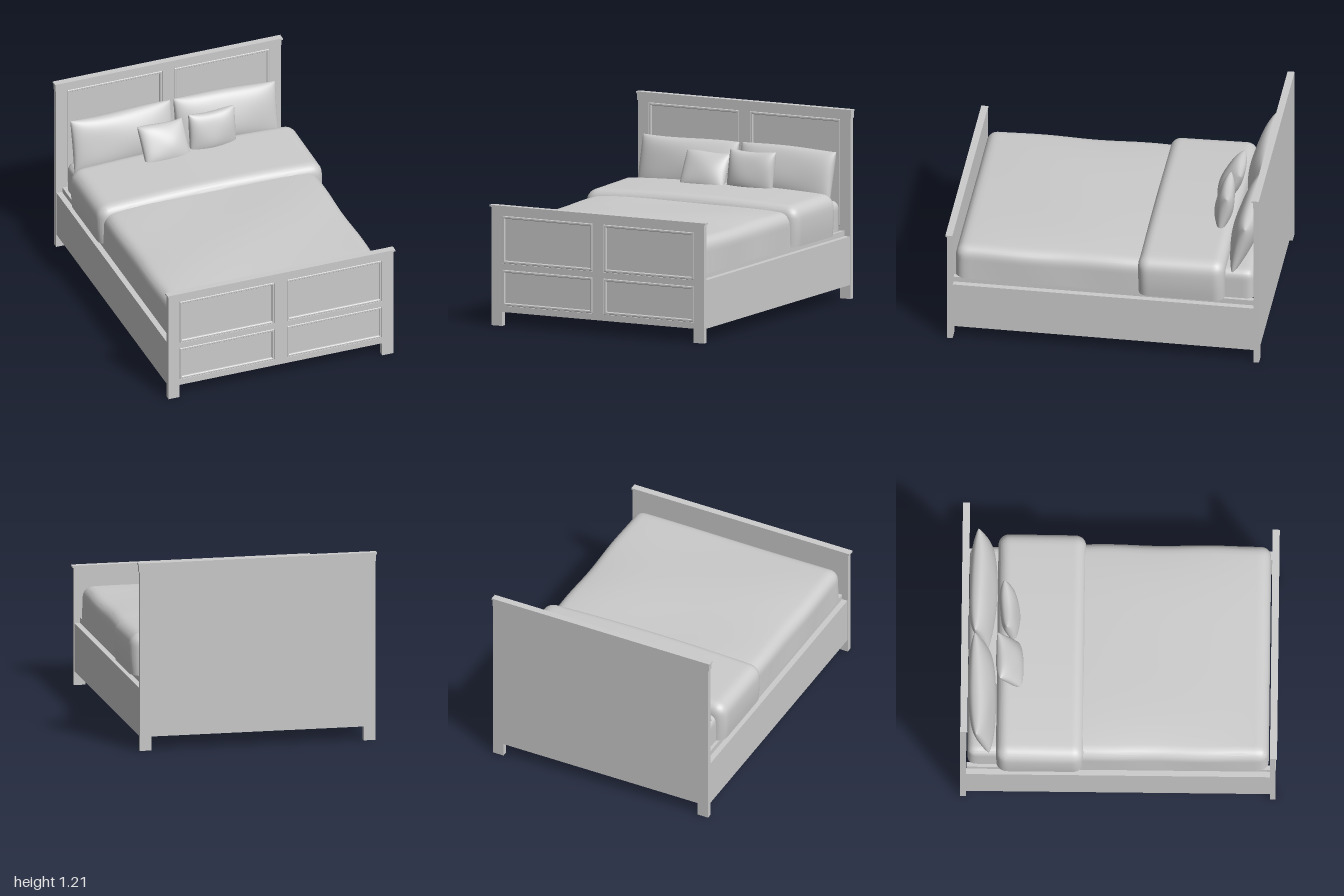
import * as THREE from 'three';
import { mergeVertices, toCreasedNormals } from 'three/addons/utils/BufferGeometryUtils.js';

const material = new THREE.MeshStandardMaterial({ color: 0xcccccc });

function add(parent, name, geometry, x = 0, y = 0, z = 0) {
  const mesh = new THREE.Mesh(geometry, material);
  mesh.name = name;
  mesh.position.set(x, y, z);
  parent.add(mesh);
  return mesh;
}

// Box given by its limits
function block(parent, name, x0, x1, y0, y1, z0, z1) {
  return add(parent, name, new THREE.BoxGeometry(x1 - x0, y1 - y0, z1 - z0),
    (x0 + x1) / 2, (y0 + y1) / 2, (z0 + z1) / 2);
}

// Move every vertex of a geometry by a rule, then smooth it
function sculpt(geometry, rule, crease) {
  geometry.deleteAttribute('uv');
  geometry.deleteAttribute('normal');
  const p = geometry.attributes.position;
  const v = new THREE.Vector3();
  for (let i = 0; i < p.count; i++) {
    v.fromBufferAttribute(p, i);
    rule(v);
    p.setXYZ(i, v.x, v.y, v.z);
  }
  const merged = mergeVertices(geometry, 1e-5);
  merged.computeVertexNormals();
  return crease ? toCreasedNormals(merged, crease) : merged;
}

const cluster = (t) => Math.sin(t * Math.PI / 2); // packs vertices near the edges

// Soft slab standing on y = 0: round upper and upright edges, flat bottom
function softSlab(w, h, d, r, puff) {
  const half = new THREE.Vector3(w / 2, h / 2, d / 2);
  return sculpt(new THREE.BoxGeometry(2, 2, 2, 40, 14, 40), (v) => {
    v.set(cluster(v.x), cluster(v.y), cluster(v.z)).multiply(half);
    const inner = new THREE.Vector3(
      THREE.MathUtils.clamp(v.x, r - half.x, half.x - r),
      Math.min(v.y, half.y - r),
      THREE.MathUtils.clamp(v.z, r - half.z, half.z - r));
    const q = v.clone().sub(inner);
    const len = q.length();
    if (len > 1e-6) {
      q.multiplyScalar(Math.max(Math.abs(q.x), Math.abs(q.y), Math.abs(q.z)) / len);
    }
    v.copy(inner).add(q);
    v.y += half.y;
    puff(v, v.y / h);
  }, 0.9);
}

// Plump cushion with slightly drawn-in sides
function cushion(w, h, t, seed) {
  return sculpt(new THREE.BoxGeometry(2, 2, 2, 28, 28, 1), (v) => {
    const a = cluster(v.x), b = cluster(v.y);
    const edge = Math.max(0, (1 - a * a) * (1 - b * b));
    const corner = 1 - 0.04 * a * a * b * b;
    const ripple = 1 + 0.08 * Math.sin(3 * a + seed) * Math.cos(2.5 * b + seed);
    v.set(
      w / 2 * a * (1 - 0.05 * (1 - b * b)) * corner,
      h / 2 * b * (1 - 0.05 * (1 - a * a)) * corner + 0.006 * Math.sin(2.5 * a + seed),
      v.z * t / 2 * Math.pow(edge, 0.42) * ripple);
  });
}

function rectangle(Type, x0, x1, y0, y1) {
  const s = new Type();
  s.moveTo(x0, y0).lineTo(x1, y0).lineTo(x1, y1).lineTo(x0, y1).closePath();
  return s;
}

// Upright board with two feet, framed panels and a cap; its back lies at z = 0
function endBoard(name, height, rows) {
  const board = new THREE.Group();
  board.name = name;
  const outline = () => {
    const s = new THREE.Shape();
    const pts = [[-0.76, 0], [-0.685, 0], [-0.685, 0.09], [0.685, 0.09], [0.685, 0],
      [0.76, 0], [0.76, height - 0.01], [-0.76, height - 0.01]];
    s.setFromPoints(pts.map(([x, y]) => new THREE.Vector2(x, y)));
    return s;
  };
  const flat = (depth) => ({ depth, bevelEnabled: false });
  add(board, 'backPlate', new THREE.ExtrudeGeometry(outline(), flat(0.02)));
  const face = outline();
  for (const [y0, y1] of rows) {
    for (const [x0, x1] of [[-0.685, -0.04], [0.04, 0.685]]) {
      face.holes.push(rectangle(THREE.Path, x0, x1, y0, y1));
      // Moulding just inside the panel opening
      const ring = rectangle(THREE.Shape, x0 + 0.005, x1 - 0.005, y0 + 0.005, y1 - 0.005);
      ring.holes.push(rectangle(THREE.Path, x0 + 0.014, x1 - 0.014, y0 + 0.014, y1 - 0.014));
      add(board, 'panelMoulding', new THREE.ExtrudeGeometry(ring,
        { depth: 0.008, bevelThickness: 0.005, bevelSize: 0.004, bevelSegments: 1 }), 0, 0, 0.022);
    }
  }
  add(board, 'faceFrame', new THREE.ExtrudeGeometry(face, flat(0.015)), 0, 0, 0.02);
  block(board, 'cap', -0.77, 0.77, height - 0.012, height, 0, 0.045);
  return board;
}

export function createModel() {
  const bed = new THREE.Group();
  bed.name = 'bed';

  // Frame
  const frame = new THREE.Group();
  frame.name = 'frame';
  frame.position.x = -0.005;
  bed.add(frame);
  const headboard = endBoard('headboard', 1.21, [[0.46, 1.145]]);
  headboard.position.z = -1;
  block(headboard, 'capTrim', -0.765, 0.765, 1.155, 1.2, 0, 0.037);
  const footboard = endBoard('footboard', 0.77, [[0.13, 0.36], [0.4, 0.705]]);
  footboard.position.z = 0.953;
  frame.add(headboard, footboard);
  for (const s of [-1, 1]) {
    const rail = block(frame, 'sideRail', -0.02, 0.02, 0.09, 0.4, -0.965, 0.955);
    rail.position.x = s * 0.737;
    const ledge = block(frame, 'railLedge', -0.015, 0.015, 0.3, 0.435, -0.96, 0.953);
    ledge.position.x = s * 0.705;
  }

  // Bedding
  const bedding = new THREE.Group();
  bedding.name = 'bedding';
  bed.add(bedding);
  add(bedding, 'mattress', softSlab(1.4, 0.2, 1.85, 0.05, () => {}), -0.005, 0.43, -0.03);
  add(bedding, 'duvet', softSlab(1.45, 0.215, 1.66, 0.065, (v, k) => {
    v.y += k * (0.028 * (1 - Math.pow(v.z / 0.83, 2)) * (1 - Math.pow(v.x / 0.73, 4))
      + 0.003 * Math.sin(7 * v.z + 4 * v.x));
    v.x *= 1 - 0.012 * k * Math.sin(5 * v.z + 1) * Math.sin(5 * v.z + 1);
  }), -0.005, 0.43, 0.115);
  add(bedding, 'foldedDuvet', softSlab(1.51, 0.26, 0.555, 0.07, (v, k) => {
    v.y += k * (0.022 * (1 - Math.pow(v.x / 0.76, 2)) - 0.02 * v.z);
    v.x *= 1 + 0.012 * Math.sin(Math.PI * k);
  }), 0.002, 0.435, -0.498);

  // Pillows: name, size, position, tilt, turn, roll
  const pillows = [
    ['rightPillow', [0.71, 0.36, 0.16], [-0.355, 0.785, -0.868], -0.24, 0.02, -0.01],
    ['leftPillow', [0.71, 0.36, 0.16], [0.345, 0.785, -0.868], -0.24, -0.02, -0.02],
    ['rightCushion', [0.32, 0.27, 0.12], [-0.14, 0.79, -0.695], -0.55, 0.05, 0.04],
    ['leftCushion', [0.33, 0.27, 0.12], [0.187, 0.81, -0.7], -0.18, 0.06, -0.02],
  ];
  pillows.forEach(([name, size, pos, tilt, turn, roll], i) => {
    add(bedding, name, cushion(...size, i * 1.7), ...pos).rotation.set(tilt, turn, roll);
  });

  return bed;
}
